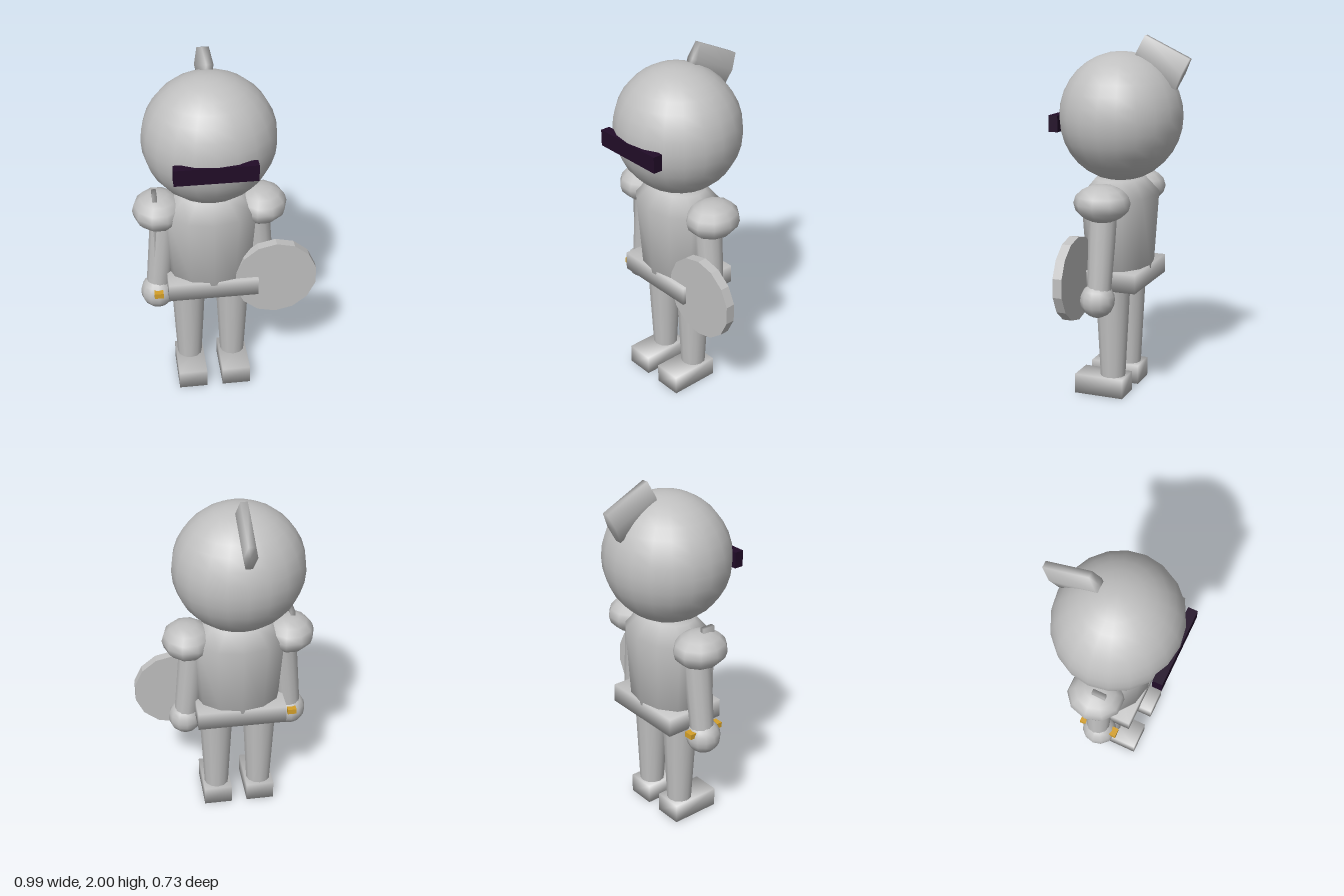
import * as THREE from 'three';
import { mergeVertices } from 'three/addons/utils/BufferGeometryUtils.js';

// Weld all corners so shading runs smoothly over every edge
function smooth(geometry) {
  geometry.deleteAttribute('uv');
  geometry.deleteAttribute('normal');
  const welded = mergeVertices(geometry, 1e-4);
  welded.computeVertexNormals();
  return welded;
}

export function createModel() {
  const model = new THREE.Group();
  const mat = (name, color) => {
    const m = new THREE.MeshStandardMaterial({ color });
    m.name = name;
    return m;
  };
  const steel = mat('steel grey', 0xc0c0c0);
  const dark = mat('dark visor', 0x210c28);
  const gold = mat('gold', 0xd4a02a);

  const add = (name, geometry, material, x, y, z) => {
    const mesh = new THREE.Mesh(geometry, material);
    mesh.name = name;
    mesh.position.set(x, y, z);
    model.add(mesh);
    return mesh;
  };
  const ball = (rx, ry, rz, w, h) => new THREE.SphereGeometry(1, w, h).scale(rx, ry, rz);
  const box = (w, h, d) => smooth(new THREE.BoxGeometry(w, h, d));

  // Tapered round limb between two points
  const limb = (name, top, bottom, rTop, rBottom) => {
    const a = new THREE.Vector3(...top), b = new THREE.Vector3(...bottom);
    const mid = a.clone().add(b).multiplyScalar(0.5);
    const geometry = new THREE.CylinderGeometry(rTop, rBottom, a.distanceTo(b), 12);
    const mesh = add(name, geometry, steel, mid.x, mid.y, mid.z);
    mesh.quaternion.setFromUnitVectors(new THREE.Vector3(0, 1, 0), a.sub(b).normalize());
  };

  const cx = -0.08; // the body stands a little off centre because of the shield
  const cz = 0.025;

  // Helmet with visor slit and six-sided crest
  add('helmet', ball(0.357, 0.352, 0.338, 20, 16), steel, cx, 1.557, cz);
  add('visor', new THREE.BoxGeometry(0.43, 0.09, 0.053), dark, -0.083, 1.525, 0.338);
  const crestShape = new THREE.CylinderGeometry(1, 1, 1, 6)
    .rotateY(Math.PI / 2).rotateX(Math.PI / 2).scale(0.0375, 0.105, 0.277);
  add('crest', smooth(crestShape), steel, cx, 1.855, -0.203).rotation.x = -0.445;

  // Breastplate: oval, bevelled at the neck
  const profile = [[0, 0.715], [0.18, 0.715], [0.207, 1.13], [0.132, 1.22], [0, 1.22]]
    .map(([r, y]) => new THREE.Vector2(r, y));
  add('breastplate', smooth(new THREE.LatheGeometry(profile, 12).scale(1.32, 1, 1)), steel, cx, 0, 0.029);
  add('belt', box(0.495, 0.105, 0.355), steel, cx, 0.683, 0.028);

  // Mirrored limbs
  for (const [side, s] of [['left', 1], ['right', -1]]) {
    add(side + 'Pauldron', ball(0.14, 0.103, 0.155, 10, 8), steel, cx + s * 0.281, 1.125, cz);
    limb(side + 'Arm', [cx + s * 0.245, 1.1, 0.03], [cx + s * 0.3, 0.6, 0.038], 0.08, 0.064);
    add(side + 'Hand', ball(0.094, 0.096, 0.096, 12, 10), steel, cx + s * 0.3, 0.592, 0.045);
    limb(side + 'Leg', [cx + s * 0.125, 0.68, cz], [cx + s * 0.125, 0.08, cz], 0.1, 0.069);
    add(side + 'Boot', box(0.16, 0.11, 0.285), steel, cx + s * 0.125, 0.055, 0.083);
  }

  // Sword held upright in the right hand
  add('swordBlade', box(0.025, 0.62, 0.075), steel, -0.38, 0.94, 0.055);
  add('swordGuard', new THREE.BoxGeometry(0.05, 0.03, 0.22), gold, -0.38, 0.63, 0.045);

  // Round shield on the left arm
  const shield = new THREE.CylinderGeometry(0.23, 0.23, 0.052, 14).rotateX(Math.PI / 2).toNonIndexed();
  shield.computeVertexNormals();
  add('shield', shield, steel, 0.267, 0.717, 0.159);

  return model;
}
